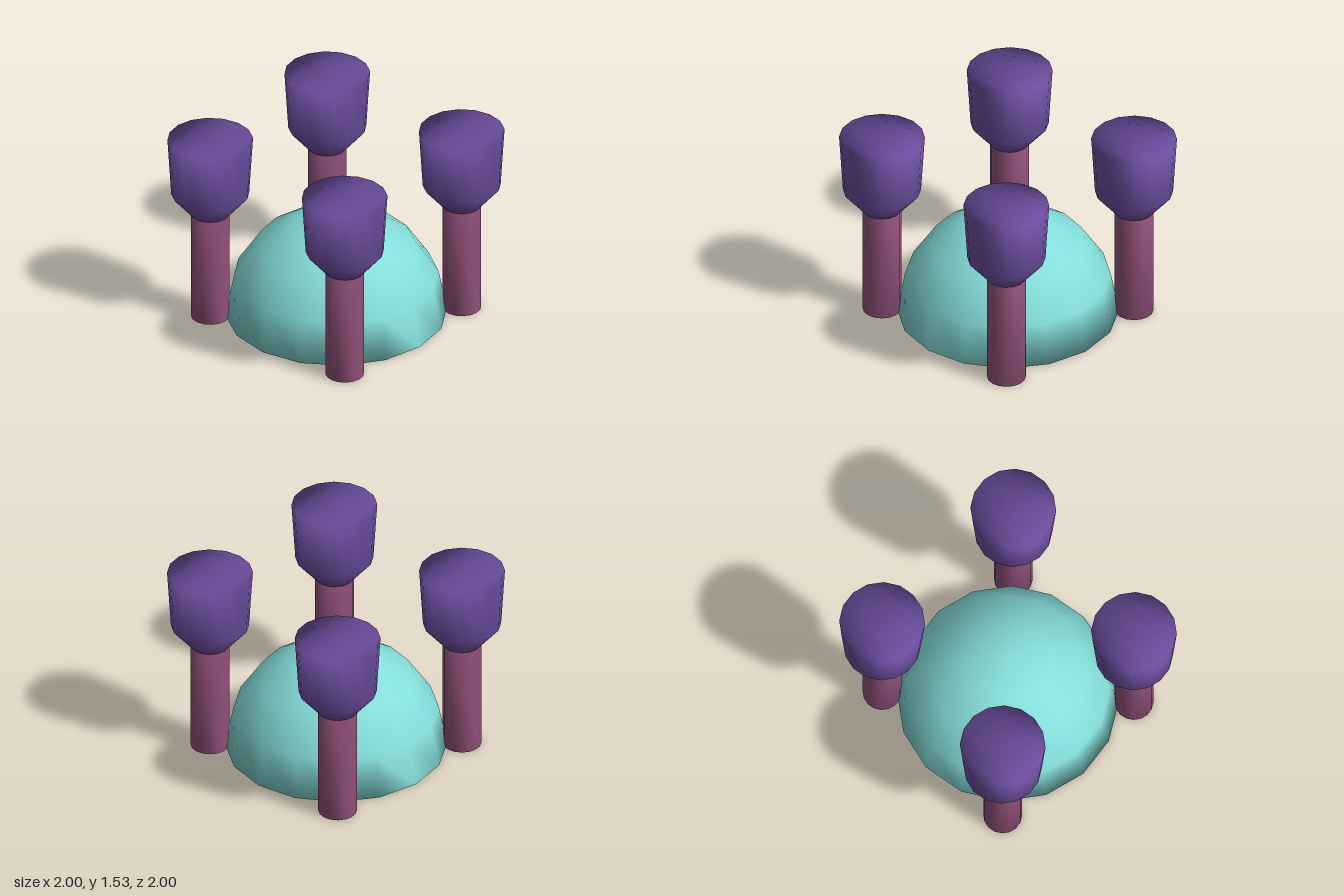
import * as THREE from 'three';
import { mergeVertices } from 'three/addons/utils/BufferGeometryUtils.js';

const SIDES = 16;

// Closed turned solid from [radius, y] rings, bottom to top, with shading that rolls softly over the rims
function turnedSolid(rings) {
  const positions = [];
  const index = [];
  for (const [r, y] of rings) {
    for (let i = 0; i < SIDES; i++) {
      const a = (i / SIDES) * Math.PI * 2;
      positions.push(r * Math.sin(a), y, r * Math.cos(a));
    }
  }
  // Walls between neighbouring rings
  for (let k = 0; k < rings.length - 1; k++) {
    for (let i = 0; i < SIDES; i++) {
      const j = (i + 1) % SIDES;
      const a = k * SIDES + i, b = k * SIDES + j;
      const c = b + SIDES, d = a + SIDES;
      index.push(a, b, d);
      if (rings[k + 1][0] > 0) index.push(b, c, d);
    }
  }
  // Flat ends, split into strips across the disc
  const cap = (k, up) => {
    if (rings[k][0] === 0) return;
    const tri = (a, b, c) => {
      const o = k * SIDES;
      if (up) index.push(o + a, o + b, o + c);
      else index.push(o + a, o + c, o + b);
    };
    for (let i = 0; i < SIDES / 2; i++) {
      const a = i, b = i + 1, c = SIDES - i - 1, d = (SIDES - i) % SIDES;
      if (a !== d) tri(a, b, d);
      if (b !== c) tri(b, c, d);
    }
  };
  cap(0, false);
  cap(rings.length - 1, true);

  let geometry = new THREE.BufferGeometry();
  geometry.setAttribute('position', new THREE.Float32BufferAttribute(positions, 3));
  geometry.setIndex(index);
  geometry = mergeVertices(geometry);
  geometry.computeVertexNormals();
  return geometry;
}

function addPart(parent, name, geometry, material) {
  const mesh = new THREE.Mesh(geometry, material);
  mesh.name = name;
  parent.add(mesh);
}

export function createModel() {
  const model = new THREE.Group();
  model.name = 'domeWithTowers';

  const teal = new THREE.MeshStandardMaterial({ color: 0x84ddd9 });
  const plum = new THREE.MeshStandardMaterial({ color: 0x8f5078 });
  const purple = new THREE.MeshStandardMaterial({ color: 0x6a4c9c });

  // Central half-sphere dome
  const domeRadius = 0.842;
  const domeRings = [];
  for (let i = 0; i <= 4; i++) {
    const a = (i / 4) * Math.PI / 2;
    domeRings.push([i === 4 ? 0 : domeRadius * Math.cos(a), domeRadius * Math.sin(a)]);
  }
  addPart(model, 'dome', turnedSolid(domeRings), teal);

  // Four corner towers: a round column carrying a flared head
  const column = turnedSolid([[0.147, 0], [0.147, 0.89]]);
  const head = turnedSolid([[0.147, 0.89], [0.296, 1.065], [0.325, 1.535]]);
  for (const [front, z] of [['front', 0.675], ['back', -0.675]]) {
    for (const [side, x] of [['Left', 0.675], ['Right', -0.675]]) {
      const tower = new THREE.Group();
      tower.name = `${front}${side}Tower`;
      tower.position.set(x, 0, z);
      addPart(tower, 'column', column, plum);
      addPart(tower, 'flaredHead', head, purple);
      model.add(tower);
    }
  }
  return model;
}
